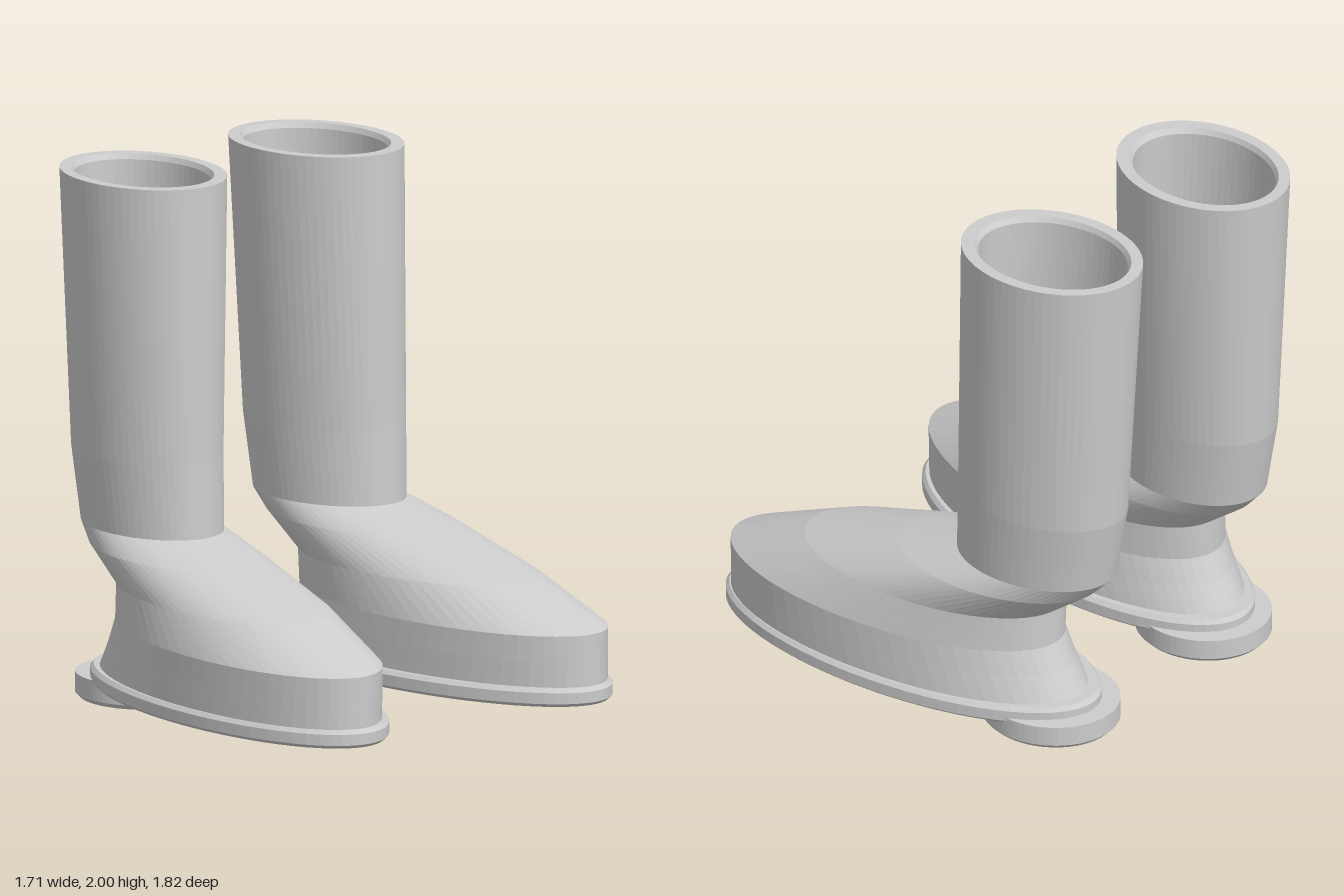
import * as THREE from 'three';

const SEG = 64;
const TURN_OUT = 0.198; // tangent of twice the toe-out angle

// Ring: [y, xInner, xOuter, zBack, zFront] -> points of a slightly toed-out ellipse
function ringPoint([y, x0, x1, z0, z1], j, side) {
  const X = (x1 - x0) / 2, Z = (z1 - z0) / 2;
  const s = X > 0 && Z > 0 ? (Z * Z - X * X) * TURN_OUT / (2 * X * Z) : 0;
  const d = Math.asin(Math.max(-1, Math.min(1, s)));
  const u = (j / SEG) * Math.PI * 2;
  return [side * ((x0 + x1) / 2 + X * Math.sin(u + d)), y, (z0 + z1) / 2 + Z * Math.cos(u)];
}

// Faceted skin through a list of rings; side = -1 mirrors it
function loft(rings, side) {
  const pos = [];
  const tri = (a, b, c) => pos.push(...a, ...(side > 0 ? b : c), ...(side > 0 ? c : b));
  for (let i = 0; i < rings.length - 1; i++) {
    const lo = rings[i], hi = rings[i + 1];
    for (let j = 0; j < SEG; j++) {
      const a = ringPoint(lo, j, side), b = ringPoint(lo, j + 1, side);
      const c = ringPoint(hi, j + 1, side), d = ringPoint(hi, j, side);
      if (lo[2] > lo[1]) tri(a, b, c);
      if (hi[2] > hi[1]) tri(a, c, d);
    }
  }
  const geo = new THREE.BufferGeometry();
  geo.setAttribute('position', new THREE.Float32BufferAttribute(pos, 3));
  geo.computeVertexNormals();
  return geo;
}

// Closed disc with stacked rims, each given as [y, inset]
function slab([x0, x1, z0, z1], rims) {
  const cx = (x0 + x1) / 2, cz = (z0 + z1) / 2;
  const rings = rims.map(([y, k]) => [y, x0 + k, x1 - k, z0 + k, z1 - k]);
  return [[rims[0][0], cx, cx, cz, cz], ...rings, [rims[rims.length - 1][0], cx, cx, cz, cz]];
}

// Foot, shaft, rim and hollow lining
const FOOT = [
  [0.13, 0.155, 0.835, -0.685, 0.885],
  [0.24, 0.16, 0.835, -0.62, 0.885],
  [0.335, 0.165, 0.835, -0.575, 0.885],
  [0.475, 0.18, 0.775, -0.575, 0.55],
  [0.6, 0.185, 0.72, -0.74, 0.12],
  [0.67, 0.2, 0.665, -0.805, -0.15],
];
const SHAFT = [
  [0.67, 0.2, 0.665, -0.805, -0.15],
  [0.95, 0.185, 0.68, -0.855, -0.16],
  [2, 0.138, 0.706, -0.907, -0.178],
  [2, 0.182, 0.662, -0.862, -0.232],
  [1.98, 0.192, 0.652, -0.848, -0.247],
];
const LINING = [
  [1.98, 0.192, 0.652, -0.848, -0.247],
  [0.95, 0.24, 0.625, -0.8, -0.22],
  [0.67, 0.26, 0.605, -0.745, -0.21],
  [0.6, 0.24, 0.665, -0.68, 0.06],
  [0.475, 0.235, 0.72, -0.515, 0.49],
  [0.335, 0.22, 0.78, -0.515, 0.82],
  [0.16, 0.22, 0.78, -0.6, 0.82],
  [0.16, 0.5, 0.5, 0.1, 0.1],
];
const SOLE = slab([0.12, 0.855, -0.735, 0.91],
  [[0.07, 0.015], [0.083, 0], [0.125, 0], [0.14, 0.014]]);
const HEEL = slab([0.178, 0.672, -0.805, -0.277],
  [[0, 0.018], [0.018, 0], [0.095, 0]]);

export function createModel() {
  const grey = new THREE.MeshStandardMaterial({ color: 0xcccccc });
  grey.name = 'grey';
  const parts = { foot: FOOT, shaft: SHAFT, lining: LINING, sole: SOLE, heel: HEEL };

  const model = new THREE.Group();
  model.name = 'boots';
  for (const side of [1, -1]) {
    const boot = new THREE.Group();
    boot.name = side > 0 ? 'leftBoot' : 'rightBoot';
    for (const [name, rings] of Object.entries(parts)) {
      const mesh = new THREE.Mesh(loft(rings, side), grey);
      mesh.name = name;
      boot.add(mesh);
    }
    model.add(boot);
  }
  return model;
}
